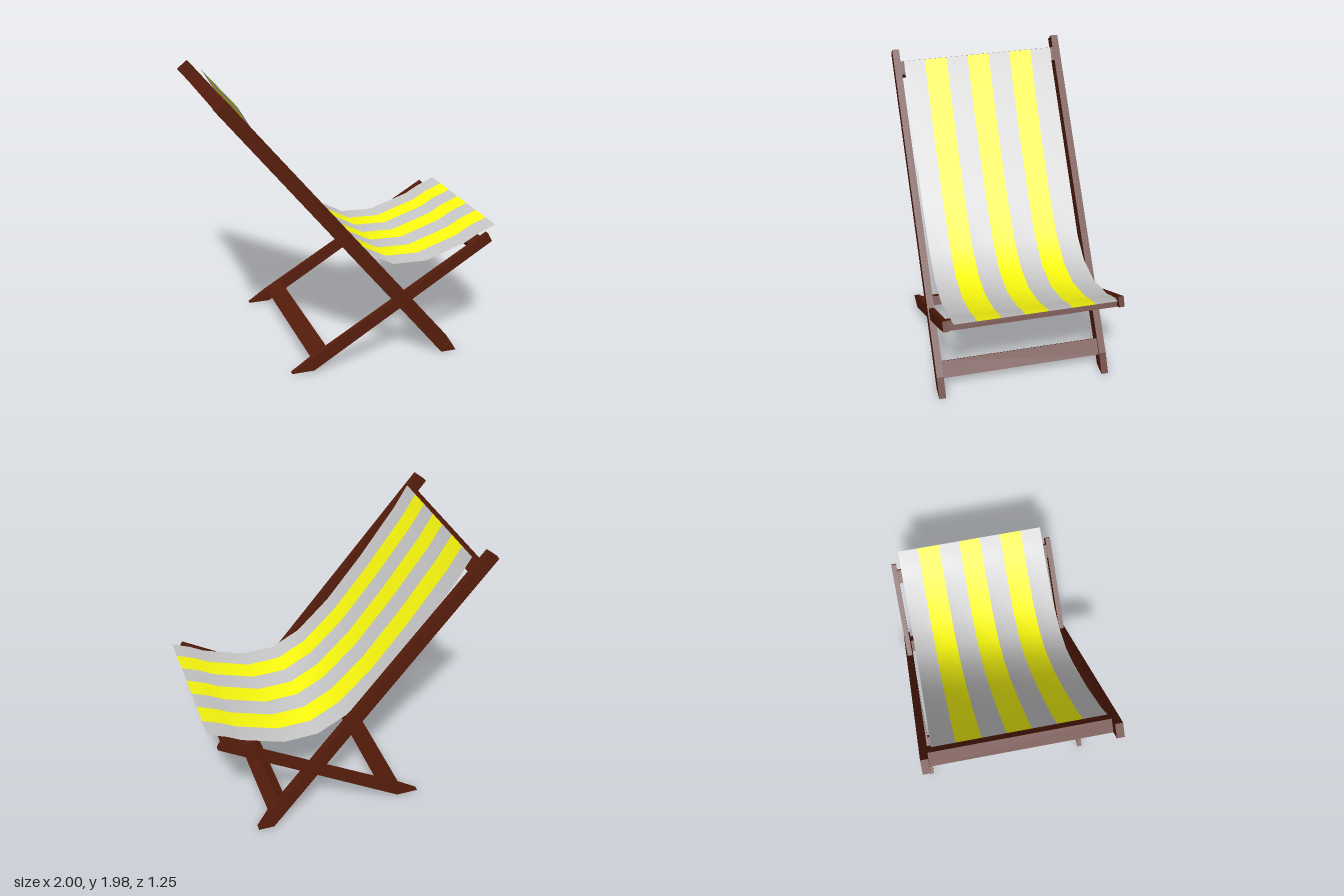
import * as THREE from 'three';

const wood = new THREE.MeshStandardMaterial({ color: 0x571d0c });
const greyCloth = new THREE.MeshStandardMaterial({ color: 0xcccccc, side: THREE.DoubleSide });
const yellowCloth = new THREE.MeshStandardMaterial({ color: 0xffff10, side: THREE.DoubleSide });

// A flat plank cut to a side outline, between two z values
function plank(name, outline, z0, z1) {
  const shape = new THREE.Shape(outline.map(([x, y]) => new THREE.Vector2(x, y)));
  const geo = new THREE.ExtrudeGeometry(shape, { depth: z1 - z0, bevelEnabled: false });
  geo.translate(0, 0, z0);
  const mesh = new THREE.Mesh(geo, wood);
  mesh.name = name;
  return mesh;
}

// A bar across the chair, tilted to lie along the rail that carries it
function crossbar(name, x, y, along, thick, angle) {
  const mesh = new THREE.Mesh(new THREE.BoxGeometry(along, thick, 1.165), wood);
  mesh.name = name;
  mesh.position.set(x, y, 0);
  mesh.rotation.z = angle;
  return mesh;
}

// One lengthwise stripe of the cloth, smooth along the sag
function stripe(name, profile, z0, z1, material) {
  const positions = [], index = [];
  profile.forEach(([x, y], i) => {
    positions.push(x, y, z0, x, y, z1);
    if (i < profile.length - 1) {
      const a = 2 * i;
      index.push(a, a + 1, a + 2, a + 1, a + 3, a + 2);
    }
  });
  const geo = new THREE.BufferGeometry();
  geo.setAttribute('position', new THREE.Float32BufferAttribute(positions, 3));
  geo.setIndex(index);
  geo.computeVertexNormals();
  const mesh = new THREE.Mesh(geo, material);
  mesh.name = name;
  return mesh;
}

export function createModel() {
  const chair = new THREE.Group();
  chair.name = 'deckChair';

  // Long back rails and short seat legs, crossing on each side
  const railOutline = [[0.585, 0], [0.698, 0], [0.618, 0.13], [-0.925, 1.98], [-1, 1.92]];
  const legOutline = [[-0.53, 0.012], [-0.37, 0.012], [0.95, 0.81], [0.915, 0.873], [-0.4, 0.1]];
  chair.add(
    plank('frontSideRail', railOutline, 0.575, 0.625),
    plank('backSideRail', railOutline, -0.63, -0.58),
    plank('frontSideLeg', legOutline, 0.578, 0.615),
    plank('backSideLeg', legOutline, -0.62, -0.583)
  );

  // Crossbars
  const railAngle = Math.atan2(-1.85, 1.543);
  const legAngle = Math.atan2(0.798, 1.32);
  chair.add(
    crossbar('topBar', -0.872, 1.84, 0.1, 0.094, railAngle),
    crossbar('frontFootBar', 0.54, 0.133, 0.12, 0.088, railAngle),
    crossbar('seatBar', 0.849, 0.788, 0.1, 0.068, legAngle),
    crossbar('rearFootBar', -0.313, 0.107, 0.13, 0.07, legAngle)
  );

  // Striped sling
  const profile = [[-0.84, 1.92], [-0.74, 1.75], [-0.48, 1.385], [-0.22, 1.055], [0.02, 0.82],
    [0.23, 0.708], [0.47, 0.7], [0.77, 0.797], [0.87, 0.853], [1, 0.905]];
  const edges = [-0.553, -0.4, -0.237, -0.08, 0.08, 0.237, 0.4, 0.553];
  const sling = new THREE.Group();
  sling.name = 'sling';
  for (let i = 0; i < edges.length - 1; i++) {
    const yellow = i % 2 === 1;
    sling.add(stripe(yellow ? 'yellowStripe' : 'greyStripe', profile, edges[i], edges[i + 1],
      yellow ? yellowCloth : greyCloth));
  }
  chair.add(sling);
  return chair;
}
